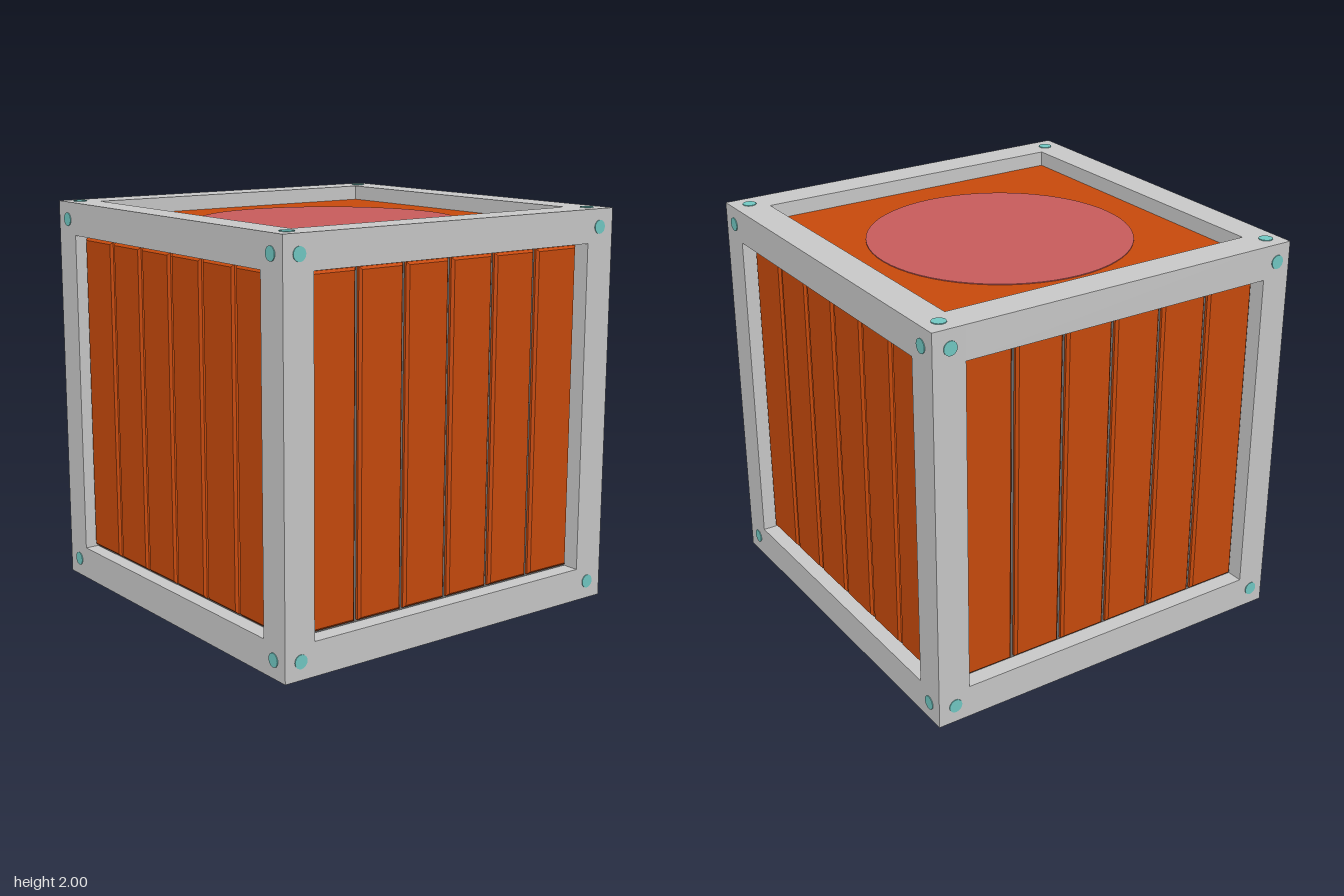
import * as THREE from 'three';

const mat = (name, color) => {
  const m = new THREE.MeshStandardMaterial({ color });
  m.name = name;
  return m;
};

export function createModel() {
  const frameGrey = mat('frameGrey', 0xc9c9c9);
  const backingGrey = mat('backingGrey', 0x707070);
  const orange = mat('plankOrange', 0xc84a0c);
  const pink = mat('discPink', 0xc85c5c);
  const teal = mat('boltTeal', 0x72c9c4);

  const crate = new THREE.Group();
  crate.name = 'crate';
  const add = (name, geo, material, parent) => {
    const mesh = new THREE.Mesh(geo, material);
    mesh.name = name;
    parent.add(mesh);
    return mesh;
  };

  const H = 0.996, T = 0.166, IN = H - T, MID = H - T / 2;

  // The front of the frame is very slightly skewed
  const skewFront = (geo) => {
    const p = geo.attributes.position;
    for (let i = 0; i < p.count; i++) {
      if (p.getZ(i) > H - 0.01) p.setZ(i, p.getZ(i) - 0.009 + 0.006 * p.getX(i));
    }
    return geo;
  };

  // Frame: four posts, and rails in x and z at top and bottom
  const frame = new THREE.Group();
  frame.name = 'frame';
  crate.add(frame);
  for (const a of [-1, 1]) for (const b of [-1, 1]) {
    const bar = (name, w, h, d, x, y, z) =>
      add(name, skewFront(new THREE.BoxGeometry(w, h, d).translate(x, y, z)), frameGrey, frame);
    bar('post', T, 2 * H, T, a * MID, 0, b * MID);
    bar('railX', 2 * IN, T, T, 0, a * MID, b * MID);
    bar('railZ', T, T, 2 * IN, a * MID, b * MID, 0);
  }

  // Inner core behind the planks, and the recessed bottom plate
  add('backing', new THREE.BoxGeometry(1.82, 1.82, 1.82), backingGrey, crate);
  add('bottomPlate', new THREE.BoxGeometry(2 * IN, 0.04, 2 * IN).translate(0, -0.91, 0), frameGrey, crate);

  // One plank with bevelled edges, its face at z = 0.935
  const plankGeometry = (width, height) => {
    const bevel = 0.012, w = width / 2 - bevel, h = height / 2 - bevel;
    const s = new THREE.Shape([
      new THREE.Vector2(-w, -h), new THREE.Vector2(w, -h),
      new THREE.Vector2(w, h), new THREE.Vector2(-w, h),
    ]);
    return new THREE.ExtrudeGeometry(s, {
      depth: 0.02, bevelEnabled: true, bevelThickness: bevel, bevelSize: bevel, bevelSegments: 1,
    }).translate(0, 0, 0.935 - 0.02 - bevel);
  };

  // Six planks on each of the four sides
  const edges = [-0.817, -0.541, -0.27, 0, 0.27, 0.541, 0.817];
  for (let side = 0; side < 4; side++) {
    const wall = new THREE.Group();
    wall.name = 'plankWall';
    wall.rotation.y = side * Math.PI / 2;
    crate.add(wall);
    for (let i = 0; i < 6; i++) {
      const x0 = edges[i] + (i > 0 ? 0.01 : 0), x1 = edges[i + 1] - (i < 5 ? 0.01 : 0);
      add('plank', plankGeometry(x1 - x0, 1.634), orange, wall).position.x = (x0 + x1) / 2;
    }
  }

  // Flat top panel with a painted disc
  add('topPanel', new THREE.BoxGeometry(2 * IN, 0.04, 2 * IN).translate(0, 0.9, 0), orange, crate);
  add('topDisc', new THREE.CylinderGeometry(0.655, 0.655, 0.004, 64).translate(0, 0.922, 0), pink, crate);

  // Bolts at the four corners of all six faces
  const turns = [[0, 0], [0, Math.PI / 2], [0, Math.PI], [0, -Math.PI / 2], [Math.PI / 2, 0], [-Math.PI / 2, 0]];
  const boltGeo = new THREE.CylinderGeometry(0.034, 0.034, 0.012, 20).rotateX(Math.PI / 2);
  turns.forEach(([rx, ry], face) => {
    const bolts = new THREE.Group();
    bolts.name = 'bolts';
    bolts.rotation.set(rx, ry, 0);
    crate.add(bolts);
    for (const x of [-0.907, 0.907]) for (const y of [-0.907, 0.907]) {
      const z = face === 0 ? 0.985 + 0.006 * x : 0.994;
      add('bolt', boltGeo, teal, bolts).position.set(x, y, z);
    }
  });

  crate.position.y = 1;
  const model = new THREE.Group();
  model.name = 'model';
  model.add(crate);
  return model;
}
